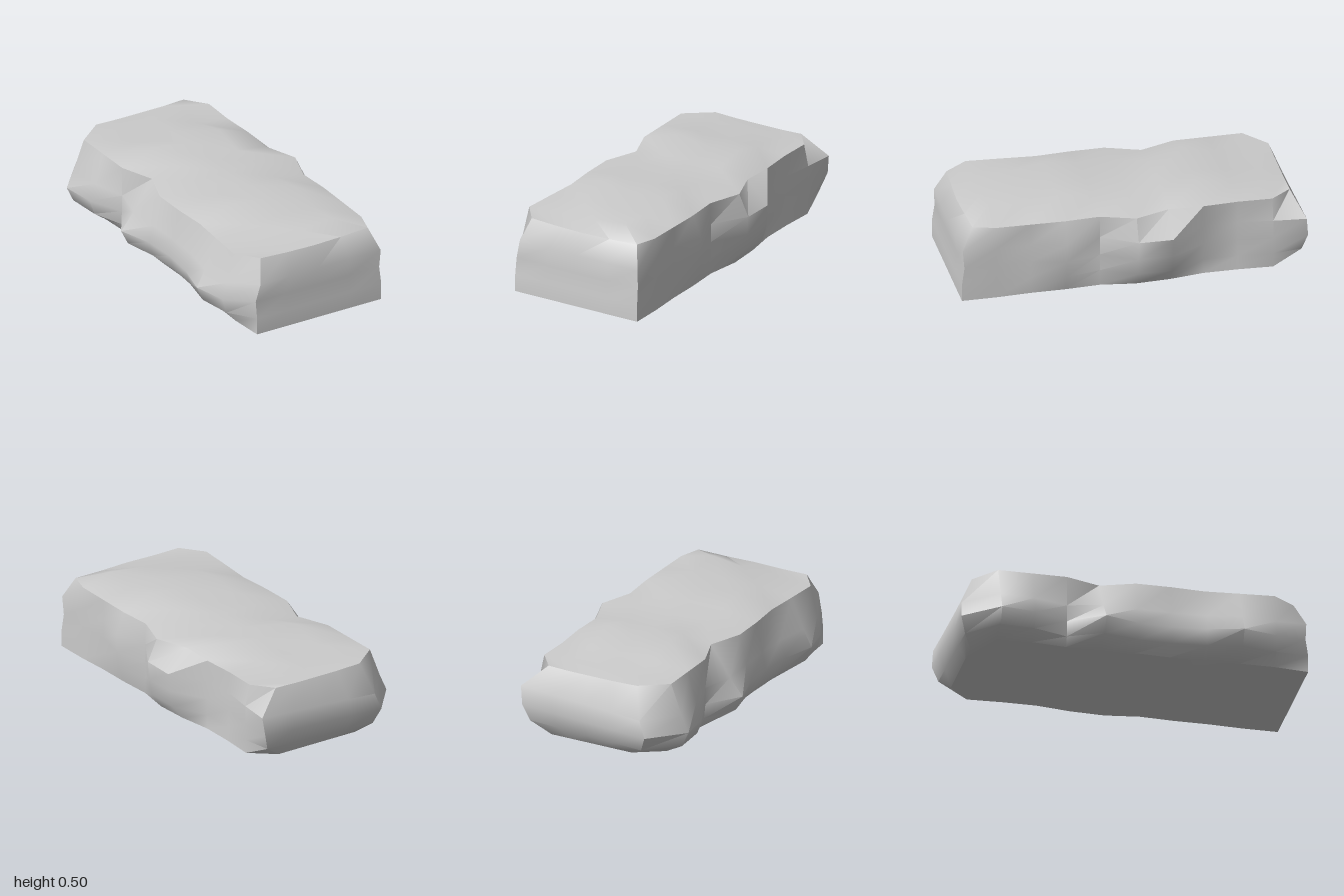
import * as THREE from 'three';
import { mergeVertices, toCreasedNormals } from 'three/addons/utils/BufferGeometryUtils.js';

// Each side: half-widths at eleven stations from the back end to the front end,
// then height and bulge amount of the five levels from bottom to top
const RIGHT = {
  low: [0.25, 0.39, 0.38, 0.38, 0.41, 0.42, 0.39, 0.4, 0.4, 0.41, 0.41],
  mid: [0.41, 0.395, 0.37, 0.38, 0.51, 0.51, 0.39, 0.45, 0.4, 0.41, 0.41],
  top: [0.27, 0.367, 0.365, 0.38, 0.375, 0.45, 0.385, 0.4, 0.4, 0.4, 0.363],
  height: [0, 0.1, 0.2, 0.31, 0.437],
  bulge: [0, 0.7, 0.9, 1, 0],
};
const LEFT = {
  low: [0.27, 0.43, 0.44, 0.42, 0.43, 0.43, 0.42, 0.42, 0.43, 0.43, 0.41],
  mid: [0.4, 0.573, 0.544, 0.452, 0.579, 0.515, 0.5, 0.516, 0.565, 0.516, 0.41],
  top: [0.306, 0.46, 0.455, 0.45, 0.374, 0.445, 0.44, 0.423, 0.435, 0.445, 0.344],
  height: [0, 0.07, 0.16, 0.26, 0.437],
  bulge: [0, 0.7, 1, 0.6, 0],
};
const BACK_INSET = [0.08, 0.03, 0, 0.01, 0.08];
const FRONT_INSET = [0, 0, 0.015, 0.005, 0.07];

// Heights of the top along its right, middle and left lines
const CROWN = [
  [0.432, 0.445, 0.455, 0.505, 0.465, 0.47, 0.475, 0.505, 0.465, 0.485, 0.432],
  [0.432, 0.445, 0.455, 0.475, 0.465, 0.47, 0.475, 0.48, 0.465, 0.46, 0.432],
  [0.432, 0.445, 0.455, 0.505, 0.465, 0.47, 0.475, 0.505, 0.465, 0.45, 0.432],
];

function halfWidth(side, station, level) {
  const base = level < 2 ? side.low[station] : side.top[station];
  return THREE.MathUtils.lerp(base, side.mid[station], side.bulge[level]);
}

function heightAt(station, level, across, x) {
  if (level === 0) return 0.01 - 0.01 * x;
  if (level === 4 && Math.abs(across) < 1) return CROWN[Math.round(across * 2) + 1][station];
  // The left wall bulges lower than the right, except at the squared front end
  const leftness = station === 10 ? 0 : (across + 1) / 2;
  return THREE.MathUtils.lerp(RIGHT.height[level], LEFT.height[level], leftness);
}

function createSlab() {
  // A subdivided box, reshaped station by station and level by level
  const box = new THREE.BoxGeometry(10, 4, 4, 10, 4, 4);
  box.deleteAttribute('normal');
  box.deleteAttribute('uv');
  const geometry = mergeVertices(box);
  const p = geometry.attributes.position;
  for (let n = 0; n < p.count; n++) {
    const station = Math.round(p.getX(n) + 5);
    const level = Math.round(p.getY(n) + 2);
    const across = p.getZ(n) / 2;

    let x = -1 + station * 0.2;
    if (station === 0) x += BACK_INSET[level];
    if (station === 10) x -= FRONT_INSET[level];
    // The front end bows out slightly at the middle of its top edge
    if (level === 4 && station === 10) x += 0.015 * (1 - Math.abs(across));

    const side = across < 0 ? RIGHT : LEFT;
    const z = across * halfWidth(side, station, level);
    p.setXYZ(n, x, heightAt(station, level, across, x), z);
  }
  // Turn the long axis to the diagonal
  geometry.rotateY(-0.75);
  return toCreasedNormals(geometry, 0.8);
}

export function createModel() {
  const group = new THREE.Group();
  const material = new THREE.MeshStandardMaterial({ color: 0xcccccc });
  const slab = new THREE.Mesh(createSlab(), material);
  slab.name = 'stoneSlab';
  group.add(slab);
  return group;
}
